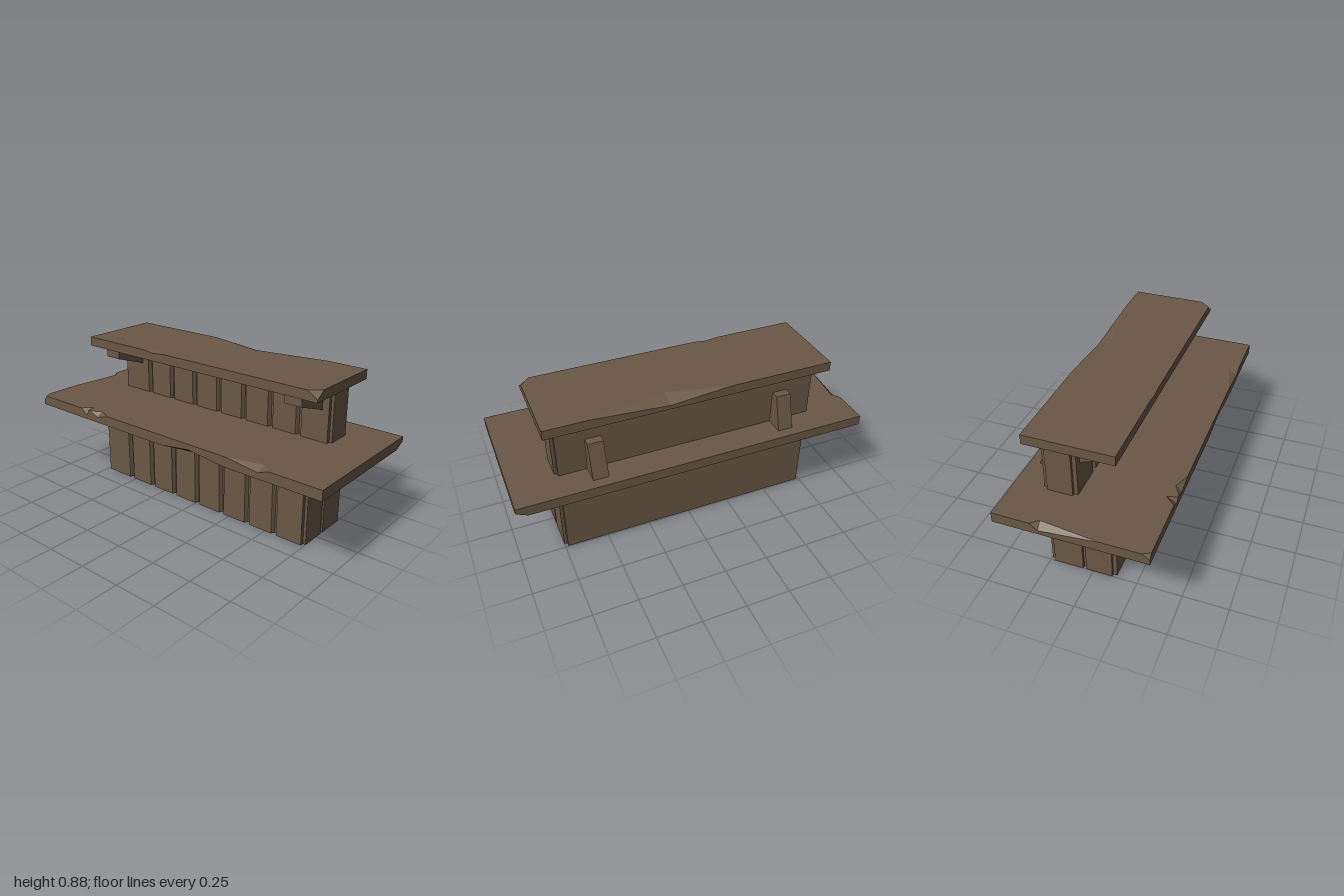
import * as THREE from 'three';

const wood = new THREE.MeshStandardMaterial({ color: 0x6a5845 });
wood.name = 'darkWood';

function part(group, name, geometry) {
  const mesh = new THREE.Mesh(geometry, wood);
  mesh.name = name;
  group.add(mesh);
}

// Plank wall: a plan outline with plank grooves and notched corners, extruded upwards
function plankWall(halfWidth, zFront, zBack, y0, y1, sideGroove) {
  const step = 0.022, inner = halfWidth - 0.016;
  const pts = [[-inner, zFront]];
  for (let i = 0; i < 7; i++) {
    const x = -0.533 + i * 0.182;
    pts.push([x - 0.017, zFront], [x - 0.007, zFront - step], [x + 0.017, zFront - step], [x + 0.017, zFront]);
  }
  pts.push([inner, zFront]);
  const side = [[inner, zFront - step], [halfWidth, zFront - step]];
  if (sideGroove) {
    side.push([halfWidth, -0.04], [inner, -0.04], [inner, -0.058], [halfWidth, -0.058]);
  }
  side.push([halfWidth, zBack + step], [inner, zBack + step], [inner, zBack]);
  pts.push(...side, ...side.map(([x, z]) => [-x, z]).reverse());
  const shape = new THREE.Shape(pts.map(([x, z]) => new THREE.Vector2(x, -z)));
  return new THREE.ExtrudeGeometry(shape, { depth: y1 - y0, bevelEnabled: false })
    .rotateX(-Math.PI / 2).translate(0, y0, 0);
}

// Bracket: a (z, y) profile extruded along x
function bracket(profile, x, width) {
  const shape = new THREE.Shape(profile.map(([z, y]) => new THREE.Vector2(z, y)));
  return new THREE.ExtrudeGeometry(shape, { depth: width, bevelEnabled: false })
    .rotateY(-Math.PI / 2).translate(x + width / 2, 0, 0);
}

// Worn slab: a box whose edges have wedge-shaped chips and whose corners can be cut off.
// chip: axis it runs along, signs of the edge, from / mid / to along it, cut depth per axis
// corner: signs of the corner, cut length per axis
function wornSlab(min, max, chips, corners) {
  const pos = [];
  const bound = (axis, sign) => (sign > 0 ? max[axis] : min[axis]);
  const tri = (a, b, c, out) => {
    const n = b.clone().sub(a).cross(c.clone().sub(a));
    for (const p of n.dot(out) < 0 ? [a, c, b] : [a, b, c]) pos.push(p.x, p.y, p.z);
  };
  const chipPoint = (chip, along, cutAxis = -1) => {
    const p = [0, 1, 2].map((i) => (i === chip.axis ? along
      : bound(i, chip.signs[i]) - (i === cutAxis ? chip.signs[i] * chip.cut[i] : 0)));
    return new THREE.Vector3(...p);
  };
  const cornerPoint = (corner, cutAxis) => new THREE.Vector3(...[0, 1, 2].map((i) =>
    bound(i, corner.signs[i]) - (i === cutAxis ? corner.signs[i] * corner.cut[i] : 0)));

  // Six faces, outlined around the chips
  for (let k = 0; k < 3; k++) for (const s of [-1, 1]) {
    const u = (k + 1) % 3, v = (k + 2) % 3, outline = [];
    const loop = [[-1, -1], [1, -1], [1, 1], [-1, 1]];
    loop.forEach((uv, i) => {
      const signs = [0, 0, 0];
      signs[k] = s; signs[u] = uv[0]; signs[v] = uv[1];
      const edge = i % 2 === 0 ? u : v, other = i % 2 === 0 ? v : u;
      const corner = corners.find((c) => c.signs.every((q, j) => q === signs[j]));
      if (corner) outline.push(cornerPoint(corner, other), cornerPoint(corner, edge));
      else outline.push(cornerPoint({ signs, cut: [0, 0, 0] }, 0));
      const dir = i < 2 ? 1 : -1;
      chips.filter((c) => c.axis === edge && c.signs[k] === s && c.signs[other] === signs[other])
        .sort((a, b) => dir * (a.mid - b.mid))
        .forEach((c) => {
          const run = [chipPoint(c, c.from), chipPoint(c, c.mid, other), chipPoint(c, c.to)];
          outline.push(...(dir > 0 ? run : run.reverse()));
        });
    });
    const flat = outline.map((p) => new THREE.Vector2(p.getComponent(u), p.getComponent(v)));
    const out = new THREE.Vector3().setComponent(k, s);
    for (const [a, b, c] of THREE.ShapeUtils.triangulateShape(flat, [])) {
      tri(outline[a], outline[b], outline[c], out);
    }
  }
  // Chip floors
  for (const c of chips) {
    const [p, q] = [0, 1, 2].filter((i) => i !== c.axis);
    const out = new THREE.Vector3(...c.signs);
    const inP = chipPoint(c, c.mid, p), inQ = chipPoint(c, c.mid, q);
    tri(chipPoint(c, c.from), inP, inQ, out);
    tri(chipPoint(c, c.to), inP, inQ, out);
  }
  for (const c of corners) {
    tri(cornerPoint(c, 0), cornerPoint(c, 1), cornerPoint(c, 2), new THREE.Vector3(...c.signs));
  }
  const geometry = new THREE.BufferGeometry();
  geometry.setAttribute('position', new THREE.Float32BufferAttribute(pos, 3));
  geometry.computeVertexNormals();
  return geometry;
}

export function createModel() {
  const group = new THREE.Group();
  group.name = 'barCounter';

  // Plank walls below and above the counter
  part(group, 'lowerWall', plankWall(0.75, 0.132, -0.246, 0, 0.47, true));
  part(group, 'upperWall', plankWall(0.755, -0.062, -0.246, 0.52, 0.83, false));

  // Main counter with worn edges
  part(group, 'counterTop', wornSlab([-1, 0.465, -0.407], [1, 0.523, 0.407], [
    { axis: 0, signs: [0, 1, 1], from: -0.65, mid: -0.6, to: -0.585, cut: [0, 0.034, 0.055] },
    { axis: 0, signs: [0, 1, 1], from: -0.57, mid: -0.51, to: -0.42, cut: [0, 0.025, 0.035] },
    { axis: 0, signs: [0, 1, 1], from: 0.44, mid: 0.64, to: 0.7, cut: [0, 0.024, 0.05] },
    { axis: 0, signs: [0, -1, 1], from: 0, mid: 0.19, to: 0.43, cut: [0, 0.027, 0.04] },
    { axis: 2, signs: [-1, 1, 0], from: -0.2, mid: -0.16, to: 0.16, cut: [0.035, 0.035, 0] },
  ], [
    { signs: [1, -1, -1], cut: [0.06, 0.03, 0.066] },
    { signs: [-1, 1, 1], cut: [0.022, 0.03, 0.04] },
  ]));

  // Raised shelf with worn edges
  part(group, 'upperShelf', wornSlab([-0.805, 0.826, -0.313], [0.805, 0.88, 0.17], [
    { axis: 0, signs: [0, 1, -1], from: -0.21, mid: 0.14, to: 0.57, cut: [0, 0.03, 0.077] },
    { axis: 0, signs: [0, 1, 1], from: -0.35, mid: -0.28, to: -0.2, cut: [0, 0.008, 0.04] },
  ], [
    { signs: [1, 1, 1], cut: [0.055, 0.038, 0.055] },
  ]));

  // Brackets under the shelf and braces behind the wall
  const corbel = [[-0.07, 0.698], [0.137, 0.77], [0.137, 0.83], [-0.07, 0.83]];
  const brace = [[-0.24, 0.52], [-0.24, 0.717], [-0.293, 0.717], [-0.35, 0.52]];
  for (const [side, s] of [['left', 1], ['right', -1]]) {
    part(group, side + 'ShelfBracket', bracket(corbel, s * 0.648, 0.102));
    part(group, side + 'BackBrace', bracket(brace, s * 0.54, 0.086));
  }
  return group;
}
